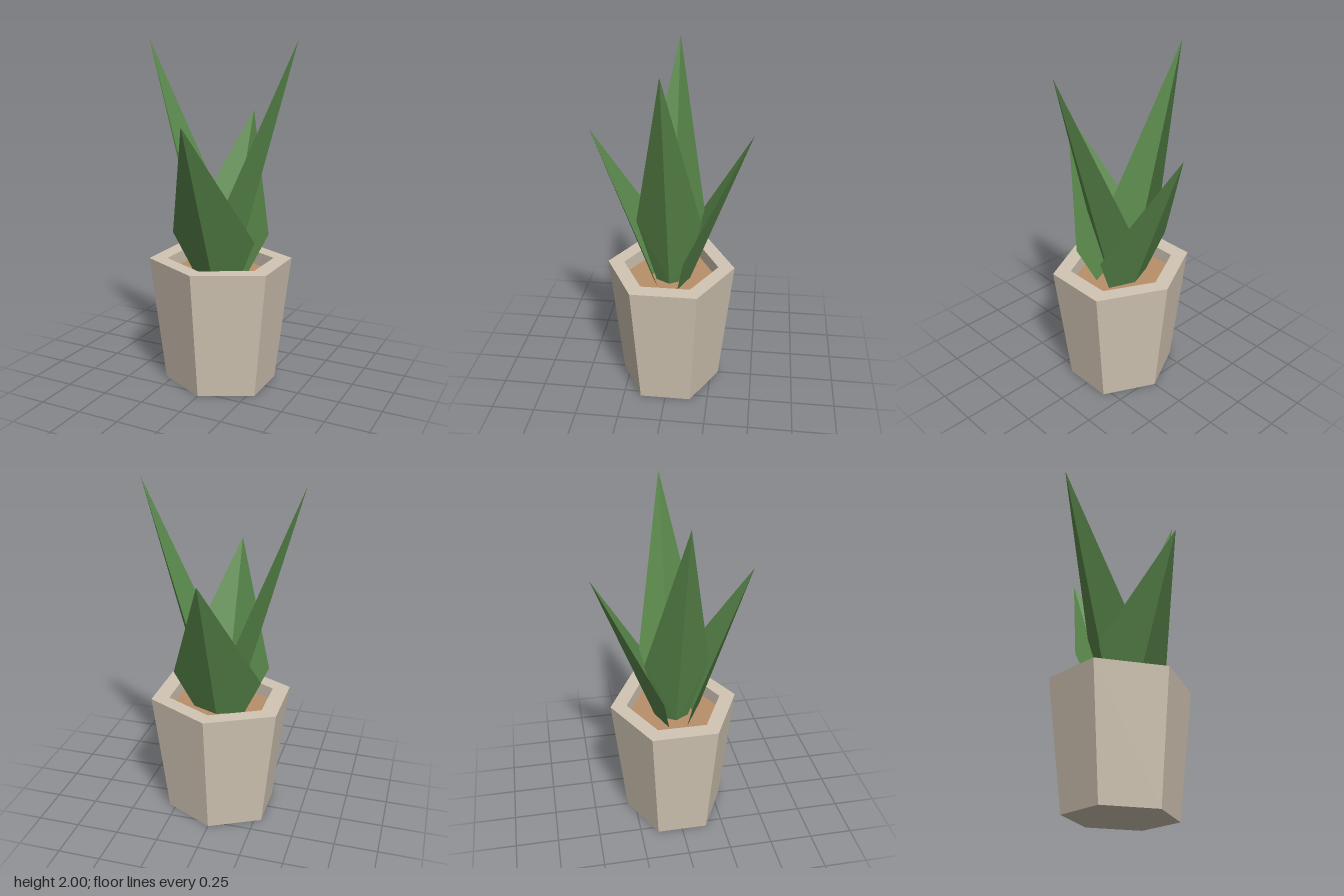
import * as THREE from 'three';

const material = (color, side = THREE.FrontSide) =>
  new THREE.MeshStandardMaterial({ color, side, flatShading: true });

const SOIL_Y = 0.67;
const STRETCH_X = 1.14; // the hexagon is slightly widened along x

// Folded leaf leaning towards +z: two flat halves meeting at a central ridge.
function leafGeometry({ tip, wide, base, ridge }) {
  const positions = [];
  for (const s of [1, -1]) {
    const [t, w, b, r] = [tip, wide, base, ridge].map(([x, y, z]) => [s * x, y, z]);
    const triangles = s > 0 ? [r, w, t, r, b, w] : [r, t, w, r, w, b];
    positions.push(...triangles.flat());
  }
  const geometry = new THREE.BufferGeometry();
  geometry.setAttribute('position', new THREE.Float32BufferAttribute(positions, 3));
  geometry.computeVertexNormals();
  return geometry;
}

export function createModel() {
  const group = new THREE.Group();
  const add = (name, geometry, mat) => {
    const mesh = new THREE.Mesh(geometry, mat);
    mesh.name = name;
    group.add(mesh);
    return mesh;
  };

  // Six-sided tapered pot with a thick rim and a recess
  const profile = [[0, 0], [0.295, 0], [0.375, 0.75], [0.28, 0.75], [0.28, SOIL_Y]]
    .map(([r, y]) => new THREE.Vector2(r, y));
  const pot = new THREE.LatheGeometry(profile, 6).scale(STRETCH_X, 1, 1);
  add('pot', pot, material(0xd2c6b4));

  // Soil surface inside the recess
  const soil = new THREE.CircleGeometry(0.28, 6, Math.PI / 2)
    .rotateX(-Math.PI / 2)
    .scale(STRETCH_X, 1, 1)
    .translate(0, SOIL_Y, 0);
  add('soil', soil, material(0xb98f6a));

  // Short wide leaves at front and back, tall narrow leaves at the sides
  const shortLeaf = leafGeometry({
    tip: [0, 1.57, 0.455], wide: [0.26, 0.9, 0.1],
    base: [0.153, SOIL_Y, 0.054], ridge: [0, SOIL_Y, 0.115],
  });
  const tallLeaf = leafGeometry({
    tip: [0, 2, 0.455], wide: [0.185, 1.07, 0.1],
    base: [0.08, SOIL_Y, 0.042], ridge: [0, SOIL_Y, 0.09],
  });
  const green = material(0x5b8a4c, THREE.DoubleSide);
  ['frontLeaf', 'leftLeaf', 'backLeaf', 'rightLeaf'].forEach((name, i) => {
    add(name, i % 2 ? tallLeaf : shortLeaf, green).rotation.y = i * Math.PI / 2;
  });

  return group;
}
